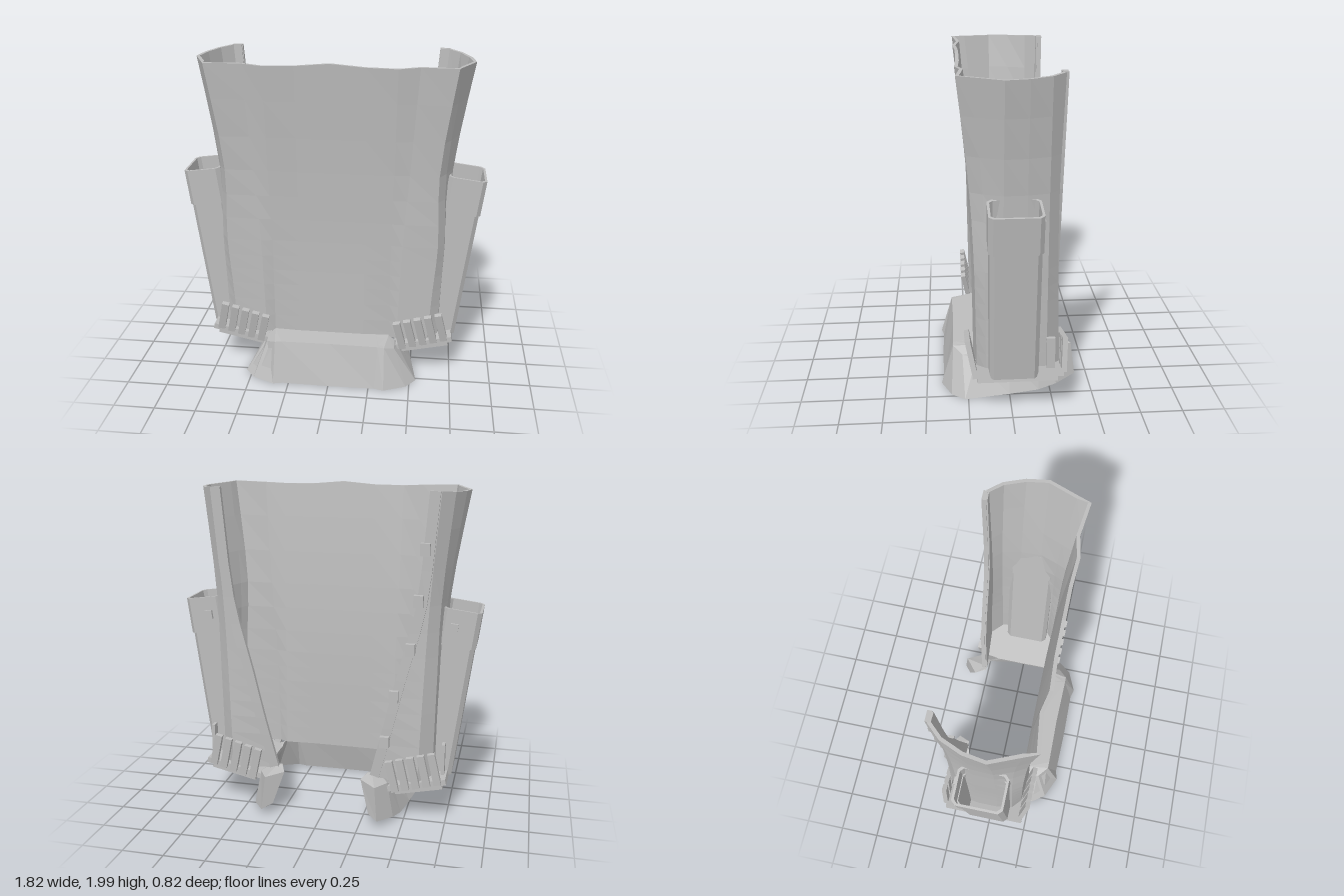
import * as THREE from 'three';

const grey = new THREE.MeshStandardMaterial({ color: 0xbcbcbc, side: THREE.DoubleSide });
grey.name = 'grey';

const V = (x, y, z) => new THREE.Vector3(x, y, z);

function add(parent, name, geometry) {
  const g = geometry.index ? geometry.toNonIndexed() : geometry;
  g.computeVertexNormals();
  const mesh = new THREE.Mesh(g, grey);
  mesh.name = name;
  parent.add(mesh);
  return mesh;
}

// Mirrors a half path (front centre to back edge) into a full open loop
const mirrorPath = half => [
  ...half.slice(1).reverse().map(p => V(-p.x, p.y, p.z)), ...half];

// Sheet with thickness: rows run top to bottom, points run along the outside
function sheet(rows, thickness) {
  const loops = rows.map(row => {
    const inner = row.map((p, i) => {
      const a = row[Math.max(i - 1, 0)], b = row[Math.min(i + 1, row.length - 1)];
      const tx = b.x - a.x, tz = b.z - a.z, len = Math.hypot(tx, tz) || 1;
      return V(p.x + tz / len * thickness, p.y, p.z - tx / len * thickness);
    });
    return [...row, ...inner.reverse()];
  });
  const n = loops[0].length, last = loops.length - 1, index = [];
  const quad = (a, b, c, d) => index.push(a, b, c, a, c, d);
  for (let r = 0; r < last; r++) {
    for (let j = 0; j < n; j++) {
      const k = (j + 1) % n;
      quad(r * n + j, (r + 1) * n + j, (r + 1) * n + k, r * n + k);
    }
  }
  for (let j = 0; j < n / 2 - 1; j++) {
    const o = last * n;
    quad(j, j + 1, n - 2 - j, n - 1 - j);
    quad(o + n - 1 - j, o + n - 2 - j, o + j + 1, o + j);
  }
  const g = new THREE.BufferGeometry().setFromPoints(loops.flat());
  g.setIndex(index);
  return g;
}

// Open rectangular sleeve with chamfered corners, standing on y = 0
function sleeve(w, d, h, wall) {
  const outline = (hw, hd, c) => [
    [hw - c, -hd], [hw, -hd + c], [hw, hd - c], [hw - c, hd],
    [-hw + c, hd], [-hw, hd - c], [-hw, -hd + c], [-hw + c, -hd],
  ].map(p => new THREE.Vector2(...p));
  const shape = new THREE.Shape(outline(w / 2, d / 2, 0.025));
  shape.holes.push(new THREE.Path(outline(w / 2 - wall, d / 2 - wall, 0.02)));
  return new THREE.ExtrudeGeometry(shape, { depth: h, bevelEnabled: false }).rotateX(-Math.PI / 2);
}

// Half cross-sections of the shell as x, z pairs at each height
const levels = [
  [2.0, [0, .285, .2, .285, .38, .295, .5, .27, .71, .295, .74, .22, .81, .05, .79, -.08, .74, -.2, .67, -.275, .61, -.275]],
  [1.35, [0, .23, .2, .23, .37, .235, .46, .225, .63, .23, .67, .16, .71, .05, .705, -.08, .68, -.2, .62, -.26, .55, -.265]],
  [0.9, [0, .207, .2, .207, .36, .21, .43, .22, .64, .21, .68, .15, .69, .05, .69, -.08, .67, -.2, .6, -.265, .44, -.27]],
  [0.6, [0, .202, .2, .202, .36, .2, .42, .217, .62, .205, .67, .15, .68, .05, .68, -.08, .665, -.2, .59, -.275, .37, -.27]],
  [0.27, [0, .2, .2, .2, .36, .19, .41, .215, .6, .2, .66, .15, .68, .05, .68, -.08, .66, -.2, .58, -.28, .29, -.255]],
];

function shellRows(count) {
  const curves = [];
  for (let c = 0; c < 11; c++) {
    curves.push(new THREE.CatmullRomCurve3(
      levels.map(([y, s]) => V(s[2 * c], y, s[2 * c + 1]))));
  }
  return Array.from({ length: count }, (_, i) => curves.map(curve => {
    const p = curve.getPoint(i / (count - 1));
    if (i === 0) p.y -= 0.02 * Math.abs(Math.sin(5 * p.x)); // wavy upper rim
    return p;
  }));
}

export function createModel() {
  const model = new THREE.Group();
  model.name = 'armourVest';

  // Main shell, open at the back
  const half = shellRows(13);
  add(model, 'shell', sheet(half.map(mirrorPath), 0.02));

  // Raised edging along both back openings
  for (const s of [1, -1]) {
    const rows = half.map(row => {
      const e = row[10];
      const strip = [V(s * (e.x + 0.055), e.y, e.z - 0.014), V(s * (e.x - 0.005), e.y, e.z - 0.014)];
      return s > 0 ? strip : strip.reverse();
    });
    add(model, 'backEdging', sheet(rows, 0.025));
  }

  // Small fasteners down the right back edge
  for (const [x, y] of [[.59, 1.68], [.56, 1.385], [.52, 1.1], [.43, .81], [.38, .52]]) {
    add(model, 'fastener', new THREE.BoxGeometry(0.055, 0.07, 0.035)).position.set(-x, y, -0.295);
  }

  // Flared collar: inner rim, upper edge, lower edge
  const rim = [V(0, .28, .2), V(.28, .28, .2), V(.36, .28, .2), V(.4, .25, .2), V(.41, .22, .14),
    V(.41, .22, 0), V(.41, .22, -.16), V(.36, .27, -.23), V(.3, .29, -.25), V(.27, .29, -.25)];
  const upper = [V(0, .27, .33), V(.3, .27, .335), V(.34, .265, .335), V(.4, .235, .28), V(.42, .21, .2),
    V(.42, .2, 0), V(.42, .2, -.18), V(.4, .25, -.28), V(.34, .26, -.39), V(.24, .27, -.31)];
  const lower = [V(0, .01, .4), V(.285, .01, .395), V(.345, .01, .41), V(.48, .01, .35), V(.54, .01, .27),
    V(.5, .01, 0), V(.47, .015, -.18), V(.44, .035, -.29), V(.36, .055, -.415), V(.3, .08, -.37)];
  add(model, 'collar', sheet([rim, upper, lower].map(mirrorPath), 0.012));

  for (const s of [1, -1]) {
    const side = new THREE.Group();
    side.name = s > 0 ? 'leftShoulder' : 'rightShoulder';
    model.add(side);

    // Sloping shoulder plates
    for (const [name, w, h, d, x, y] of [
      ['shoulderBase', .36, .035, .52, .575, .255], ['shoulderPad', .29, .035, .46, .585, .22]]) {
      const plate = add(side, name, new THREE.BoxGeometry(w, h, d));
      plate.position.set(s * x, y, -0.03);
      plate.rotation.z = s * 0.22;
    }

    // Rows of ribs at the front and back of the shoulder
    for (const f of [1, -1]) {
      for (let i = 0; i < 5; i++) {
        const rib = add(side, 'rib', new THREE.BoxGeometry(0.044, 0.2, 0.03));
        rib.position.set(s * (0.43 + i * 0.063), 0.305 + i * 0.018, f > 0 ? 0.235 : -0.3);
        rib.rotation.set(f * (f > 0 ? 0.2 : 0.05), 0, s * 0.22);
      }
    }
    add(side, 'sideRib', new THREE.BoxGeometry(0.02, 0.19, 0.05)).position.set(s * 0.725, 0.415, -0.215);

    // Tilted open side pouch with a collar band and a buckle
    const pouch = new THREE.Group();
    pouch.name = 'sidePouch';
    pouch.position.set(s * 0.665, 0.29, -0.005);
    pouch.rotation.z = -s * 0.13;
    side.add(pouch);
    add(pouch, 'pouchBody', sleeve(0.21, 0.28, 0.84, 0.012));
    add(pouch, 'pouchBand', sleeve(0.225, 0.295, 0.22, 0.014)).position.y = 0.81;
    add(pouch, 'pouchBuckle', new THREE.BoxGeometry(0.045, 0.055, 0.03)).position.set(-s * 0.03, 0.92, -0.15);
  }
  return model;
}
